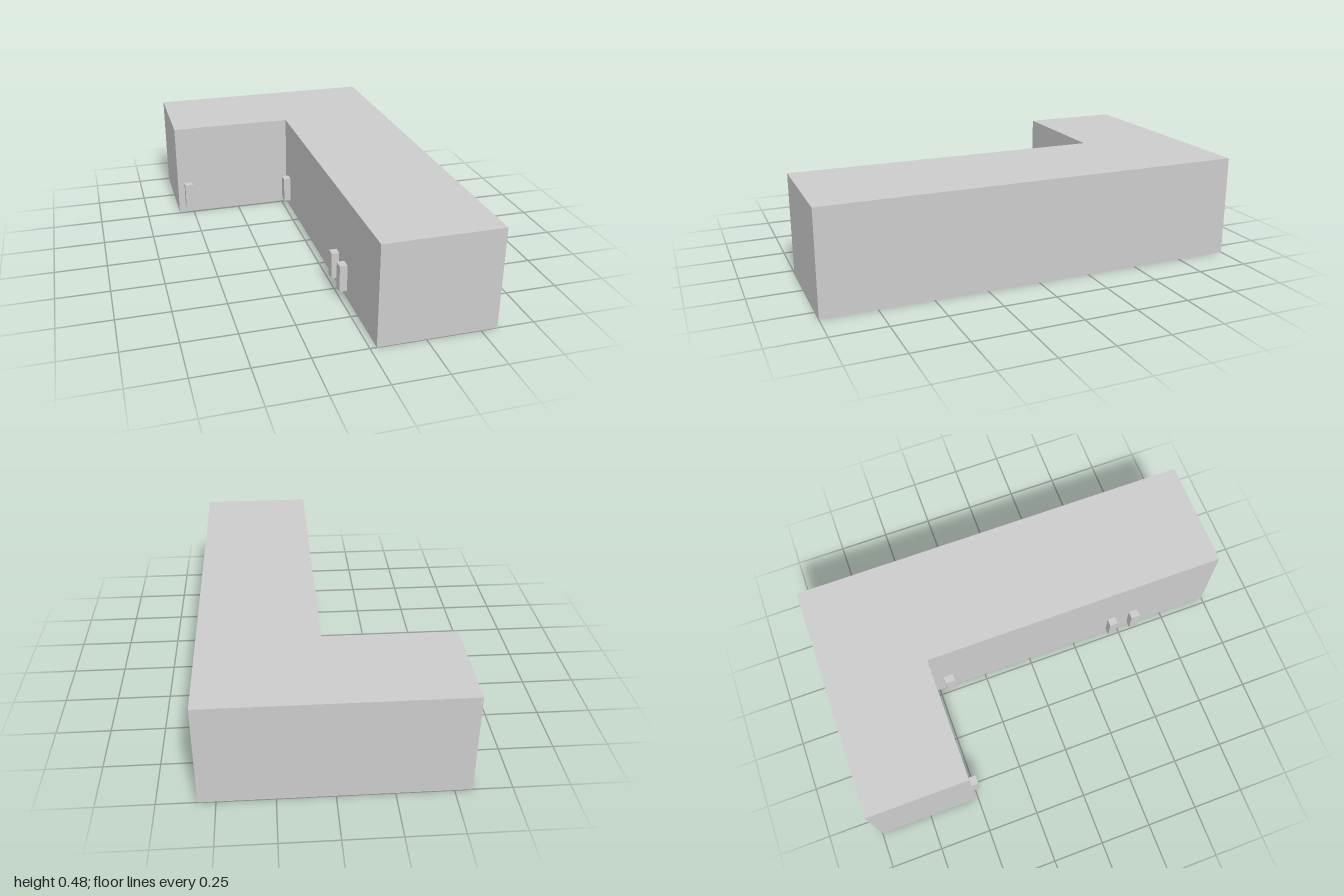
import * as THREE from 'three';

export function createModel() {
  const model = new THREE.Group();
  model.name = 'lShapedCabinet';
  const material = new THREE.MeshStandardMaterial({ color: 0xcccccc });

  const height = 0.48;
  const side = 0.577;    // half width
  const innerX = 0.03;   // inner face of the long wing
  const innerZ = -0.512; // inner face of the short wing

  // L-shaped body: plan outline as [x, z], extruded upwards
  const plan = [[-side, -1], [-side, innerZ], [innerX, innerZ], [innerX, 1], [side, 1], [side, -1]];
  const outline = new THREE.Shape(plan.map(([x, z]) => new THREE.Vector2(x, -z)));
  const bodyGeometry = new THREE.ExtrudeGeometry(outline, { depth: height, bevelEnabled: false });
  bodyGeometry.rotateX(-Math.PI / 2);
  const body = new THREE.Mesh(bodyGeometry, material);
  body.name = 'body';
  model.add(body);

  // Upright bar handles on the inner faces
  const addHandle = (name, width, depth, x, z) => {
    const handle = new THREE.Mesh(new THREE.BoxGeometry(width, 0.13, depth), material);
    handle.name = name;
    handle.position.set(x, 0.105, z);
    model.add(handle);
  };
  const reach = 0.036;
  addHandle('shortWingHandle', 0.042, reach, -0.521, innerZ + reach / 2);
  [[-0.439, 0.048], [0.455, 0.042], [0.577, 0.046]].forEach(([z, depth], i) =>
    addHandle(`longWingHandle${i + 1}`, reach, depth, innerX - reach / 2, z));

  return model;
}
